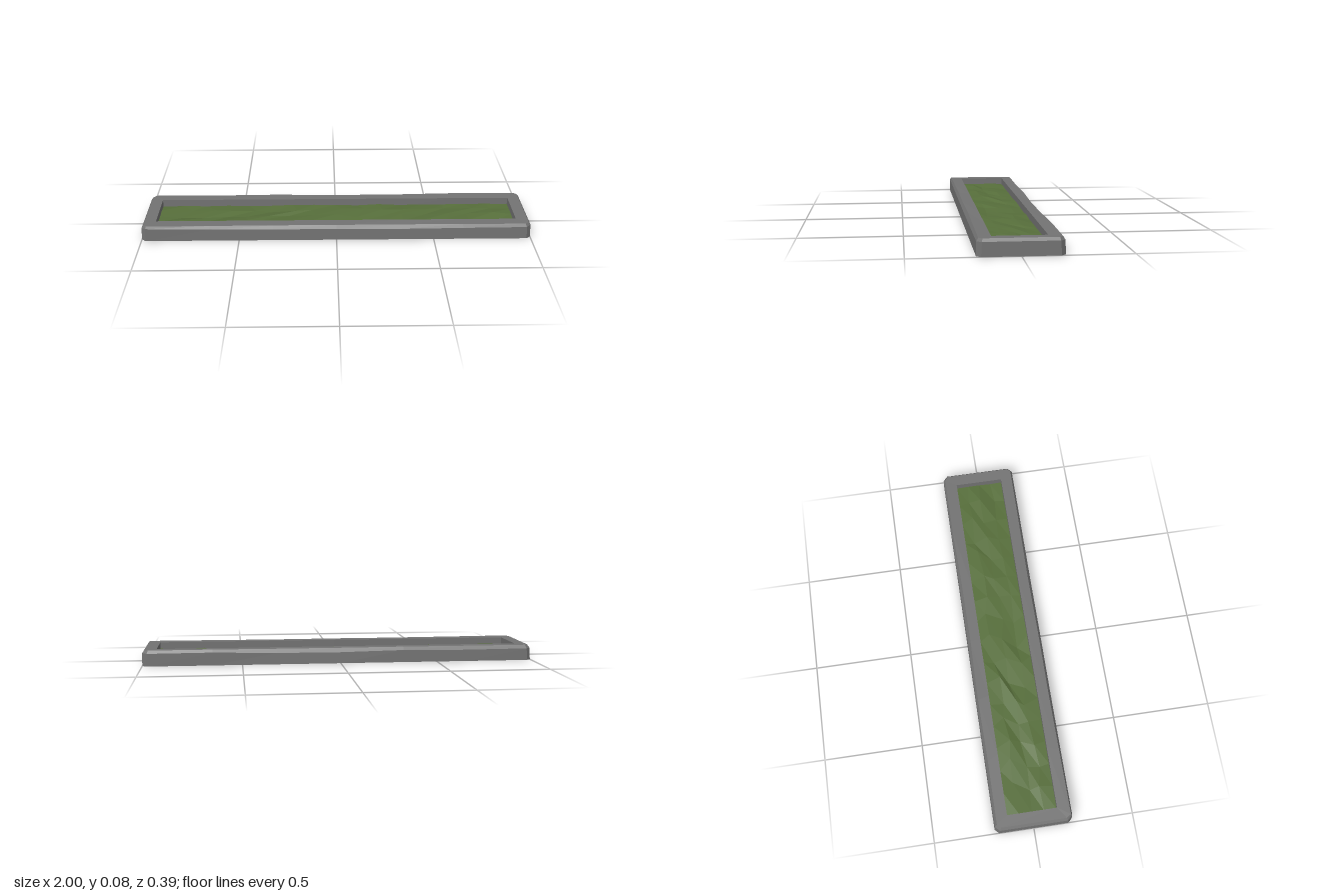
import * as THREE from 'three';

// Small seeded generator for the worn, uneven shapes
function makeRandom(seed) {
  let s = seed;
  return () => (s = (s * 16807) % 2147483647) / 2147483647;
}

// Outline of a rectangle with cut corners, front edge first, anticlockwise from above
function outline(hx, hz, cut) {
  const corners = [[-hx, hz], [hx, hz], [hx, -hz], [-hx, -hz]];
  const steps = [6, 1, 6, 1];
  const pts = [];
  corners.forEach(([ax, az], k) => {
    const [bx, bz] = corners[(k + 1) % 4];
    const len = Math.hypot(bx - ax, bz - az);
    for (let i = 0; i <= steps[k]; i++) {
      const t = (cut + (len - 2 * cut) * i / steps[k]) / len;
      pts.push([ax + (bx - ax) * t, az + (bz - az) * t]);
    }
  });
  return pts;
}

// Stone kerb: rings run up the outside, over the rim and down the inside
function kerbGeometry() {
  const random = makeRandom(71);
  const worn = outline(0, 0, 0).map(() => random());
  const rings = [
    { hx: 1, hz: 0.195, cut: 0.02, y: 0, wear: 0, drop: 0 },
    { hx: 0.999, hz: 0.194, cut: 0.023, y: 0.068, wear: 0.002, drop: 0.012 },
    { hx: 0.99, hz: 0.188, cut: 0.018, y: 0.08, wear: 0.011, drop: 0.003 },
    { hx: 0.93, hz: 0.125, cut: 0, y: 0.078, wear: 0, drop: 0 },
    { hx: 0.93, hz: 0.125, cut: 0, y: 0.025, wear: 0, drop: 0 },
  ];
  const pos = [], index = [];
  rings.forEach(r => outline(r.hx, r.hz, r.cut).forEach(([x, z], i) => {
    const w = r.wear * worn[i];
    pos.push(x - Math.sign(x) * (Math.abs(x) > 0.95 ? w * 0.5 : 0),
      r.y - r.drop * worn[i], z - Math.sign(z) * w);
  }));
  const n = worn.length;
  for (let j = 0; j < rings.length - 1; j++) {
    for (let i = 0; i < n; i++) {
      const a = j * n + i, b = j * n + (i + 1) % n;
      index.push(a, b, b + n, a, b + n, a + n);
    }
  }
  // Flat underside
  pos.push(0, 0, 0);
  for (let i = 0; i < n; i++) index.push(rings.length * n, (i + 1) % n, i);
  const g = new THREE.BufferGeometry();
  g.setAttribute('position', new THREE.Float32BufferAttribute(pos, 3));
  g.setIndex(index);
  const flat = g.toNonIndexed();
  flat.computeVertexNormals();
  return flat;
}

// Rumpled grass bed with a level border
function grassGeometry() {
  const random = makeRandom(23);
  const hx = 0.93, hz = 0.125;
  const g = new THREE.PlaneGeometry(2 * hx, 2 * hz, 16, 4).rotateX(-Math.PI / 2);
  const p = g.attributes.position;
  for (let i = 0; i < p.count; i++) {
    const x = p.getX(i), z = p.getZ(i);
    const inside = Math.abs(x) < hx - 0.01 && Math.abs(z) < hz - 0.01;
    const bump = (random() - 0.5) * 0.018;
    const dx = (random() - 0.5) * 0.07, dz = (random() - 0.5) * 0.03;
    p.setXYZ(i, inside ? x + dx - z * 0.4 : x, 0.042 + bump * (inside ? 1 : 0.4), inside ? z + dz : z);
  }
  const flat = g.toNonIndexed();
  flat.computeVertexNormals();
  return flat;
}

export function createModel() {
  const stone = new THREE.MeshStandardMaterial({ color: 0x737373, flatShading: true });
  stone.name = 'grey stone';
  const green = new THREE.MeshStandardMaterial({ color: 0x576f3b, flatShading: true });
  green.name = 'grass green';

  const model = new THREE.Group();
  model.name = 'planterBed';
  const kerb = new THREE.Mesh(kerbGeometry(), stone);
  kerb.name = 'stoneKerb';
  const grass = new THREE.Mesh(grassGeometry(), green);
  grass.name = 'grass';
  model.add(kerb, grass);
  return model;
}
